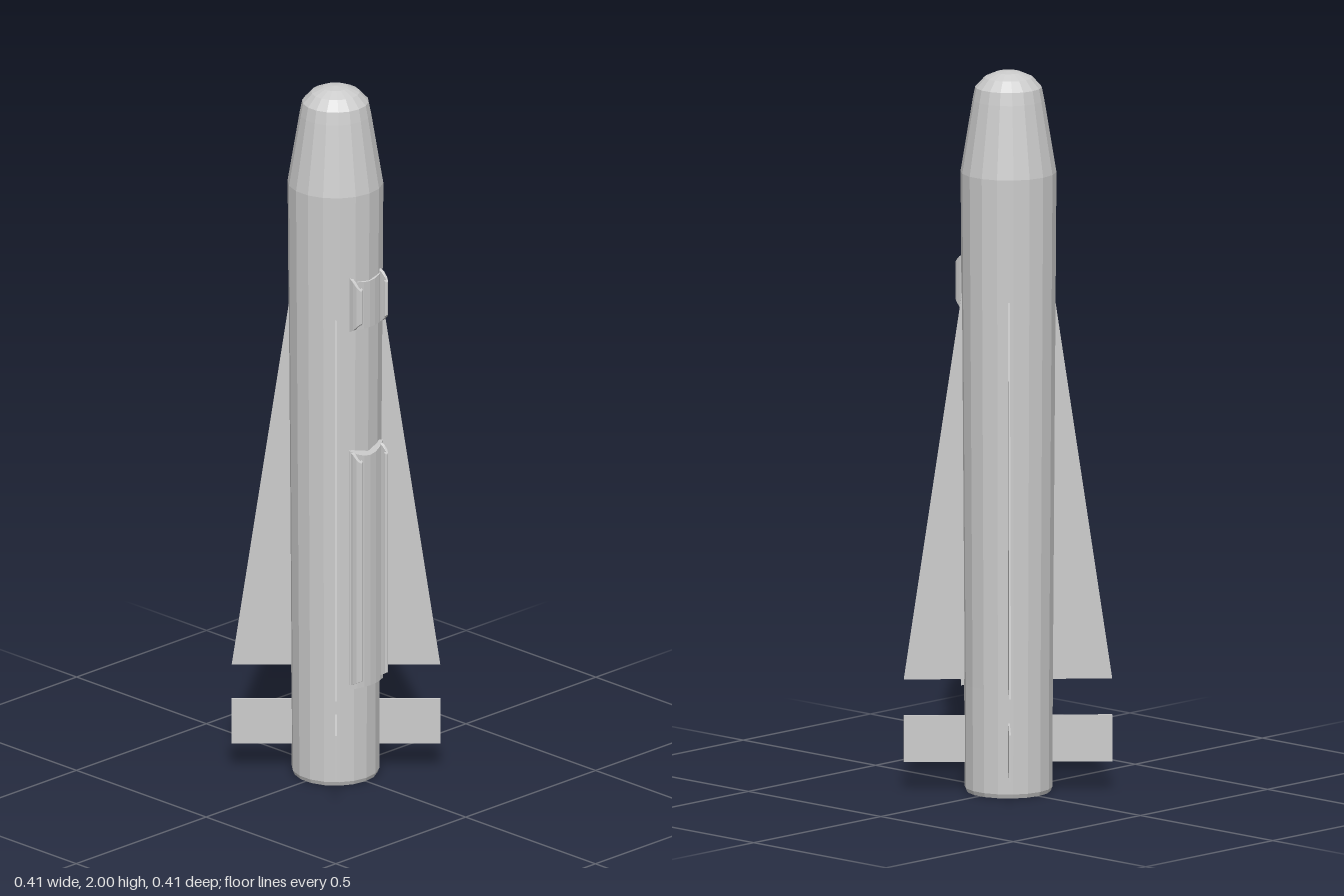
import * as THREE from 'three';

const material = new THREE.MeshStandardMaterial({ color: 0xcccccc, flatShading: true });

export function createModel() {
  const model = new THREE.Group();
  const add = (name, geometry) => {
    const mesh = new THREE.Mesh(geometry, material);
    mesh.name = name;
    model.add(mesh);
    return mesh;
  };
  const toShape = (points) => new THREE.Shape(points.map(([x, y]) => new THREE.Vector2(x, y)));

  // Faceted body with a tapered nose and a rounded tip
  const profile = [
    [0, 0], [0.115, 0], [0.12, 0.012], [0.121, 0.3], [0.131, 1.72],
    [0.098, 1.92], [0.091, 1.955], [0.066, 1.982], [0.034, 1.996], [0, 2],
  ].map(([r, y]) => new THREE.Vector2(r, y));
  add('body', new THREE.LatheGeometry(profile, 18)).position.x = -0.002;

  // Thin plates set on the four diagonals: long wings above, square fins below
  const thickness = 0.005;
  const plate = (points) => new THREE.ExtrudeGeometry(toShape(points), { depth: thickness, bevelEnabled: false })
    .translate(0, 0, -thickness / 2);
  const wing = plate([[0.11, 0.31], [0.284, 0.31], [0.126, 1.38], [0.11, 1.38]]);
  const fin = plate([[0.11, 0.08], [0.284, 0.08], [0.284, 0.21], [0.11, 0.21]]);
  for (let i = 0; i < 4; i++) {
    const angle = Math.PI / 4 + i * Math.PI / 2;
    add('wing', wing).rotation.y = angle;
    add('tailFin', fin).rotation.y = angle;
  }

  // Upright extrusion of an x-z section, its ends sloping inward as z grows
  const upright = (points, bottom, top, slopeTop, slopeBottom) => {
    const geometry = new THREE.ExtrudeGeometry(toShape(points), { depth: top - bottom, bevelEnabled: false });
    geometry.rotateX(Math.PI / 2).translate(0, top, 0);
    const p = geometry.attributes.position;
    for (let i = 0; i < p.count; i++) {
      const out = Math.max(0, p.getZ(i) - 0.118);
      const y = p.getY(i);
      p.setY(i, y > (top + bottom) / 2 ? y - out * slopeTop : y + out * slopeBottom);
    }
    geometry.computeVertexNormals();
    return geometry;
  };

  // Curved saddle section hugging the front of the body
  const saddle = (outer, halfAngle) => {
    const points = [];
    for (let i = 0; i <= 6; i++) {
      const a = halfAngle * (1 - i / 3);
      points.push([Math.sin(a) * outer, Math.cos(a) * outer]);
    }
    return [...points, [-0.05, 0.105], [0.05, 0.105]];
  };

  // Hook section curling inward at its tip
  const hook = [
    [0.05, 0.11], [0.058, 0.11], [0.06, 0.128], [0.059, 0.14], [0.055, 0.148],
    [0.049, 0.151], [0.043, 0.147], [0.043, 0.143], [0.048, 0.145], [0.051, 0.14], [0.05, 0.128],
  ];
  const mirrored = hook.map(([x, z]) => [-x, z]);

  add('lowerSaddle', upright(saddle(0.133, 0.5), 0.285, 0.98, 1.5, 0));
  add('upperSaddle', upright(saddle(0.131, 0.48), 1.33, 1.475, 0.8, 0));
  for (const section of [hook, mirrored]) {
    add('lowerRail', upright(section, 0.295, 0.98, 0.9, 0.6)).position.x = -0.002;
    add('upperLug', upright(section, 1.325, 1.485, 1, 1)).position.x = -0.002;
  }

  return model;
}
